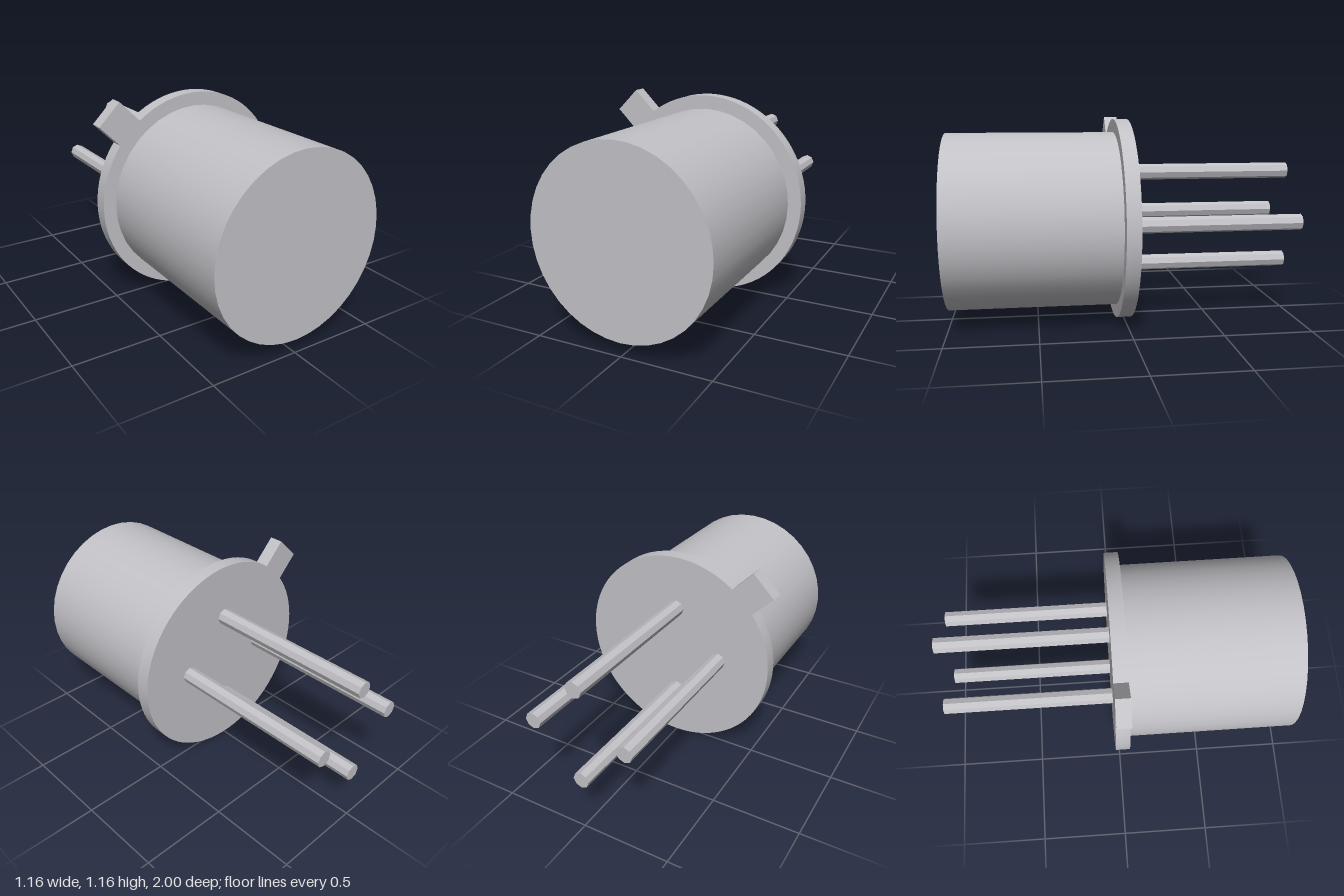
import * as THREE from 'three';
import { toCreasedNormals } from 'three/addons/utils/BufferGeometryUtils.js';

const AXIS_Y = 0.583;

export function createModel() {
  const group = new THREE.Group();
  const metal = new THREE.MeshStandardMaterial({ color: 0xc2c1c6 });
  metal.name = 'silver metal';

  const add = (name, geometry) => {
    const mesh = new THREE.Mesh(geometry, metal);
    mesh.name = name;
    group.add(mesh);
    return mesh;
  };

  // Cylinder lying along z between two depths
  const rod = (radius, sides, back, front) =>
    new THREE.CylinderGeometry(radius, radius, front - back, sides)
      .rotateX(Math.PI / 2)
      .translate(0, 0, (front + back) / 2);

  // Can
  add('can', rod(0.505, 40, 0.05, 1)).position.y = AXIS_Y;

  // Round flange with a square locating tab at the upper left of the front
  const radius = 0.58, tabHalf = 0.086, tabReach = 0.74;
  const tabAngle = Math.PI * 0.75;
  const half = Math.asin(tabHalf / radius);
  const corner = (side) => new THREE.Vector2(tabReach, side * tabHalf)
    .rotateAround(new THREE.Vector2(), tabAngle);
  const outline = new THREE.Shape();
  outline.absarc(0, 0, radius, tabAngle + half, tabAngle - half + Math.PI * 2, false);
  for (const side of [-1, 1]) {
    const p = corner(side);
    outline.lineTo(p.x, p.y);
  }
  outline.closePath();
  const flange = new THREE.ExtrudeGeometry(outline, {
    depth: 0.08, bevelEnabled: false, curveSegments: 38,
  }).translate(0, 0, -0.03);
  add('flange', toCreasedNormals(flange, 0.5)).position.y = AXIS_Y;

  // Four faceted pins in a ring
  const pin = toCreasedNormals(rod(0.046, 8, -1, -0.03), 0.3);
  for (let i = 0; i < 4; i++) {
    const a = (i * Math.PI) / 2;
    add('pin' + (i + 1), pin).position.set(0.272 * Math.cos(a), AXIS_Y + 0.272 * Math.sin(a), 0);
  }

  return group;
}
